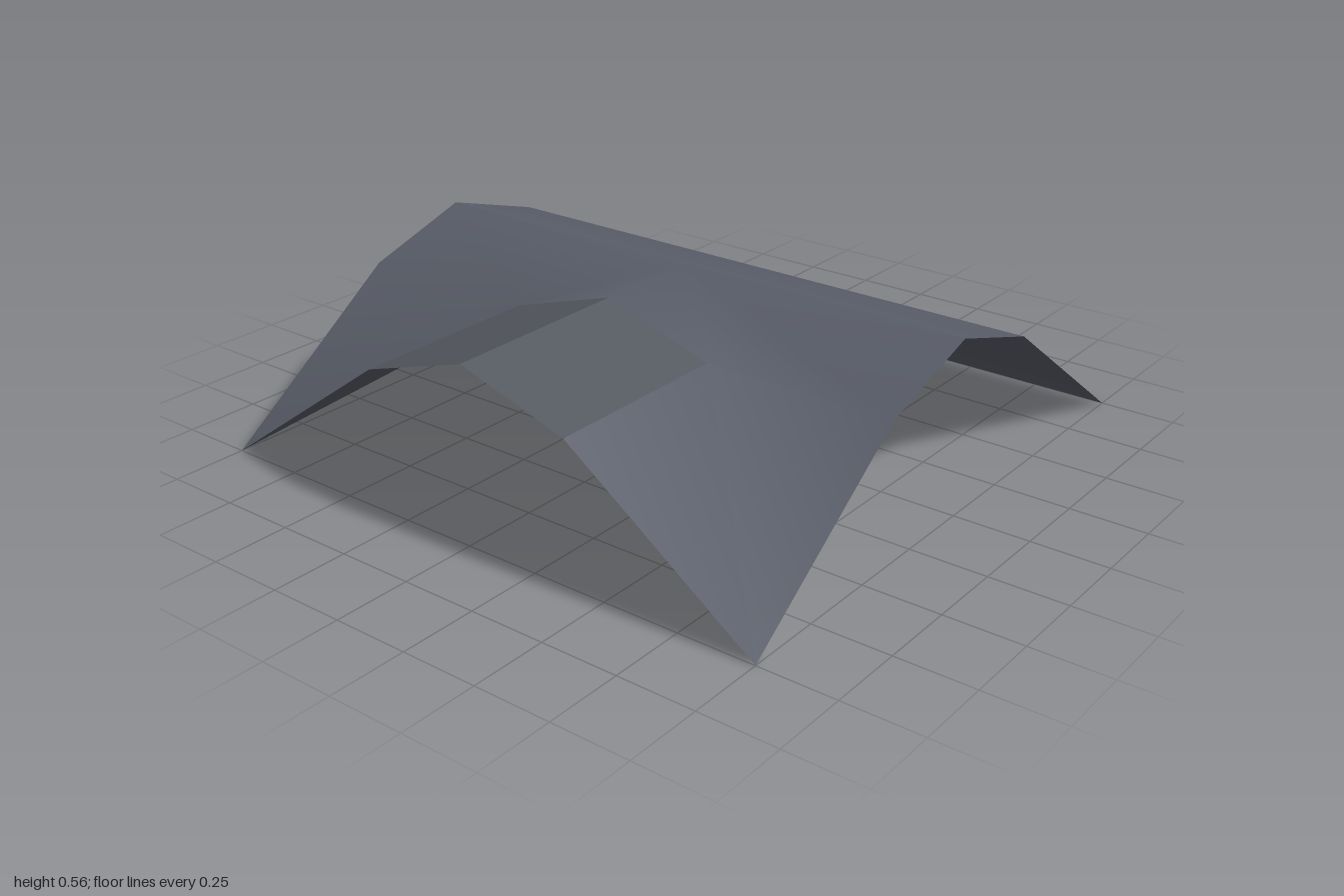
import * as THREE from 'three';
import { mergeVertices } from 'three/addons/utils/BufferGeometryUtils.js';

const RIDGE = 0.565, KNEE = 0.45, K = 0.37;

const slate = new THREE.MeshStandardMaterial({ color: 0x5a5e69, side: THREE.DoubleSide });
slate.name = 'slate';
const paleSlate = new THREE.MeshStandardMaterial({ color: 0x555a61, side: THREE.DoubleSide });
paleSlate.name = 'panel slate';

// Builds a surface from convex faces of the +x half, mirrored to -x
function mirroredSurface(name, faces, material, smooth) {
  const positions = [];
  const addFace = (face) => {
    for (let i = 1; i < face.length - 1; i++) {
      positions.push(...face[0], ...face[i], ...face[i + 1]);
    }
  };
  for (const face of faces) {
    addFace(face);
    addFace(face.map(([x, y, z]) => [-x, y, z]).reverse());
  }
  let geometry = new THREE.BufferGeometry();
  geometry.setAttribute('position', new THREE.Float32BufferAttribute(positions, 3));
  if (smooth) geometry = mergeVertices(geometry);
  geometry.computeVertexNormals();
  const mesh = new THREE.Mesh(geometry, material);
  mesh.name = name;
  return mesh;
}

export function createModel() {
  const roof = new THREE.Group();
  roof.name = 'gambrelRoofJunction';

  // Shared corners on the +x half
  const ridgeMid = [0, RIDGE, 0];
  const ridgeEnd = [1, RIDGE, 0];
  const kneeEnd = [1, KNEE, K];
  const valley = [K, KNEE, K];
  const eaveCorner = [1, 0, 1];
  const wingRidgeBack = [0, RIDGE, K];
  const wingRidgeFront = [0, RIDGE, 1];
  const wingKneeFront = [K, KNEE, 1];

  // Rear slopes, upper and lower
  roof.add(mirroredSurface('rearSlope', [
    [ridgeMid, ridgeEnd, [1, KNEE, -K], [0, KNEE, -K]],
    [[0, KNEE, -K], [1, KNEE, -K], [1, 0, -1], [0, 0, -1]],
  ], slate, true));

  // Front slopes with the valleys where the wing joins
  roof.add(mirroredSurface('frontSlopesAndValleys', [
    [ridgeMid, valley, kneeEnd, ridgeEnd],
    [ridgeMid, wingRidgeBack, valley],
    [valley, eaveCorner, kneeEnd],
    [valley, wingKneeFront, eaveCorner],
  ], slate, true));

  // Upper panels of the front wing
  roof.add(mirroredSurface('wingUpperPanels', [
    [wingRidgeBack, wingRidgeFront, wingKneeFront, valley],
  ], paleSlate, false));

  return roof;
}
